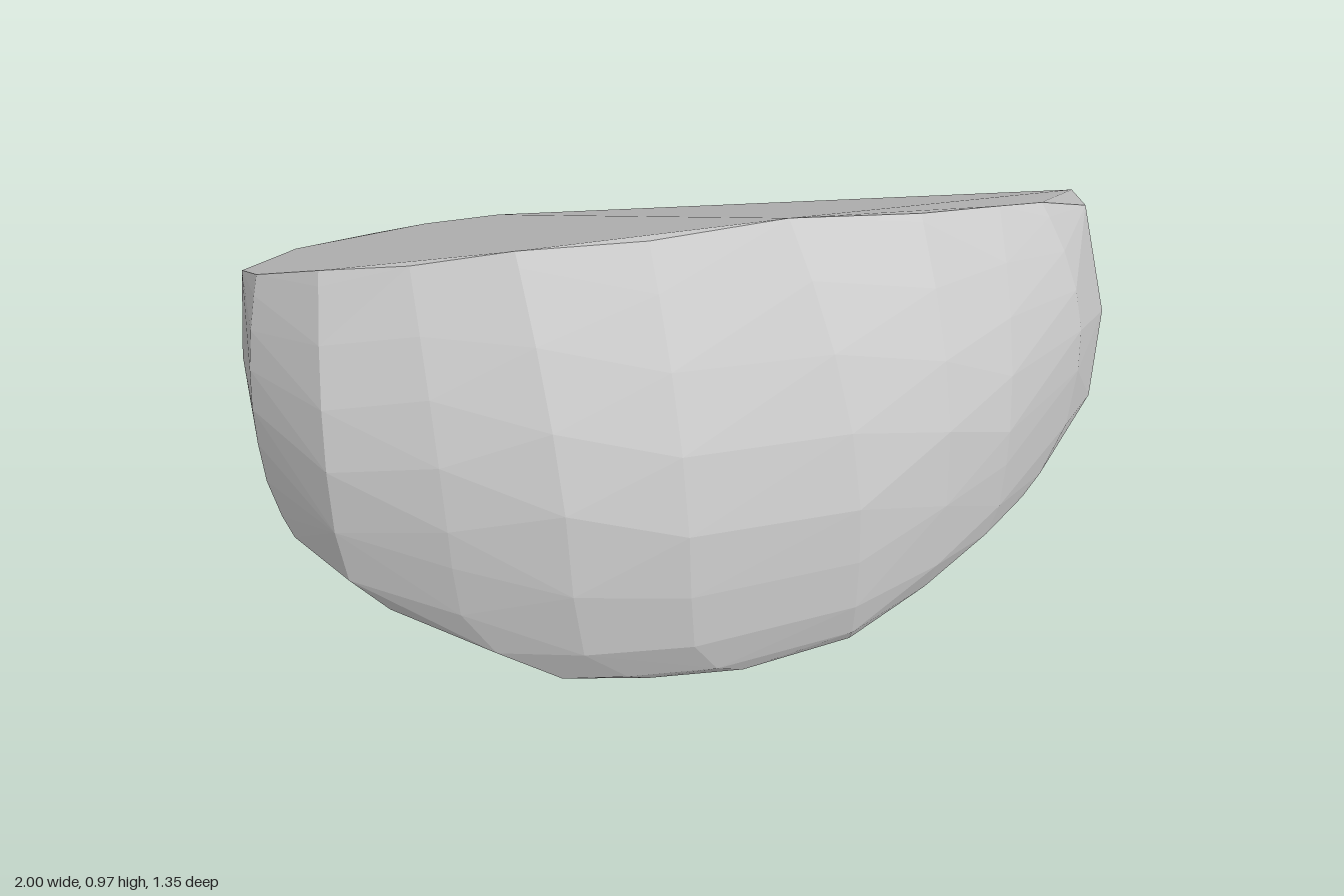
import * as THREE from 'three';
import { ConvexGeometry } from 'three/addons/geometries/ConvexGeometry.js';

// Upright sections around the stone: [bottom rim, waist, top rim], each as x, y, z
const backSections = [
  [[-0.40, 0.245, -0.66], [-0.41, 0.30, -0.675], [-0.40, 0.40, -0.60]],
  [[-0.56, 0.28, -0.65], [-0.57, 0.33, -0.655], [-0.58, 0.38, -0.62]],
  [[-0.71, 0.31, -0.60], [-0.82, 0.35, -0.52], [-0.70, 0.40, -0.57]],
  [[-0.90, 0.34, -0.38], [-0.91, 0.42, -0.38], [-0.88, 0.49, -0.40]],
  [[-0.98, 0.25, -0.04], [-1.00, 0.42, -0.10], [-0.97, 0.63, -0.13]],
  [[0.93, 0.19, 0.08], [0.95, 0.40, 0.03], [0.88, 0.68, 0.00]],
  [[0.98, 0.29, -0.08], [1.00, 0.40, -0.19], [0.95, 0.56, -0.24]],
  [[0.98, 0.38, -0.20], [0.99, 0.46, -0.24], [0.91, 0.51, -0.30]],
];
const frontSections = [
  [[-0.92, 0.14, 0.20], [-0.97, 0.35, 0.12], [-0.92, 0.72, 0.02]],
  [[-0.68, 0.08, 0.42], [-0.81, 0.33, 0.40], [-0.78, 0.82, 0.17]],
  [[-0.38, 0.01, 0.58], [-0.58, 0.33, 0.54], [-0.60, 0.88, 0.27]],
  [[-0.20, 0.00, 0.60], [-0.35, 0.31, 0.64], [-0.40, 0.94, 0.34]],
  [[0.00, 0.00, 0.61], [-0.12, 0.30, 0.67], [-0.15, 0.955, 0.37]],
  [[0.24, 0.01, 0.57], [0.23, 0.30, 0.63], [0.12, 0.97, 0.36]],
  [[0.42, 0.04, 0.48], [0.43, 0.35, 0.55], [0.40, 0.91, 0.30]],
  [[0.55, 0.07, 0.40], [0.59, 0.35, 0.45], [0.60, 0.84, 0.20]],
  [[0.70, 0.11, 0.31], [0.82, 0.40, 0.23], [0.72, 0.79, 0.13]],
];

// Point at height fraction f from waist to rim; a higher power bulges more
function bulge(waist, rim, f, power) {
  const p = waist.clone().lerp(rim, f ** power);
  p.y = THREE.MathUtils.lerp(waist.y, rim.y, f);
  return p;
}

export function createModel() {
  const points = [];
  const toVectors = (section) => section.map((p) => new THREE.Vector3(...p));

  // Narrow back and ends: only the three rims
  backSections.forEach((section) => points.push(...toVectors(section)));

  // Rounded belly: extra points between the rims, staggered for irregular facets
  frontSections.forEach((section, i) => {
    const [bottom, waist, top] = toVectors(section);
    const shift = 0.08 * Math.sin(i * 2.4);
    points.push(bottom, waist, top);
    [0.25, 0.5, 0.72, 0.9].forEach((f) => points.push(bulge(waist, top, f + shift, 2.2)));
    [0.5, 0.85].forEach((f) => points.push(bulge(waist, bottom, f + shift, 4)));
  });

  const stone = new THREE.Mesh(
    new ConvexGeometry(points),
    new THREE.MeshStandardMaterial({ color: 0xcccccc, flatShading: true })
  );
  stone.name = 'stone';

  const group = new THREE.Group();
  group.name = 'wedgeRock';
  group.add(stone);
  return group;
}
